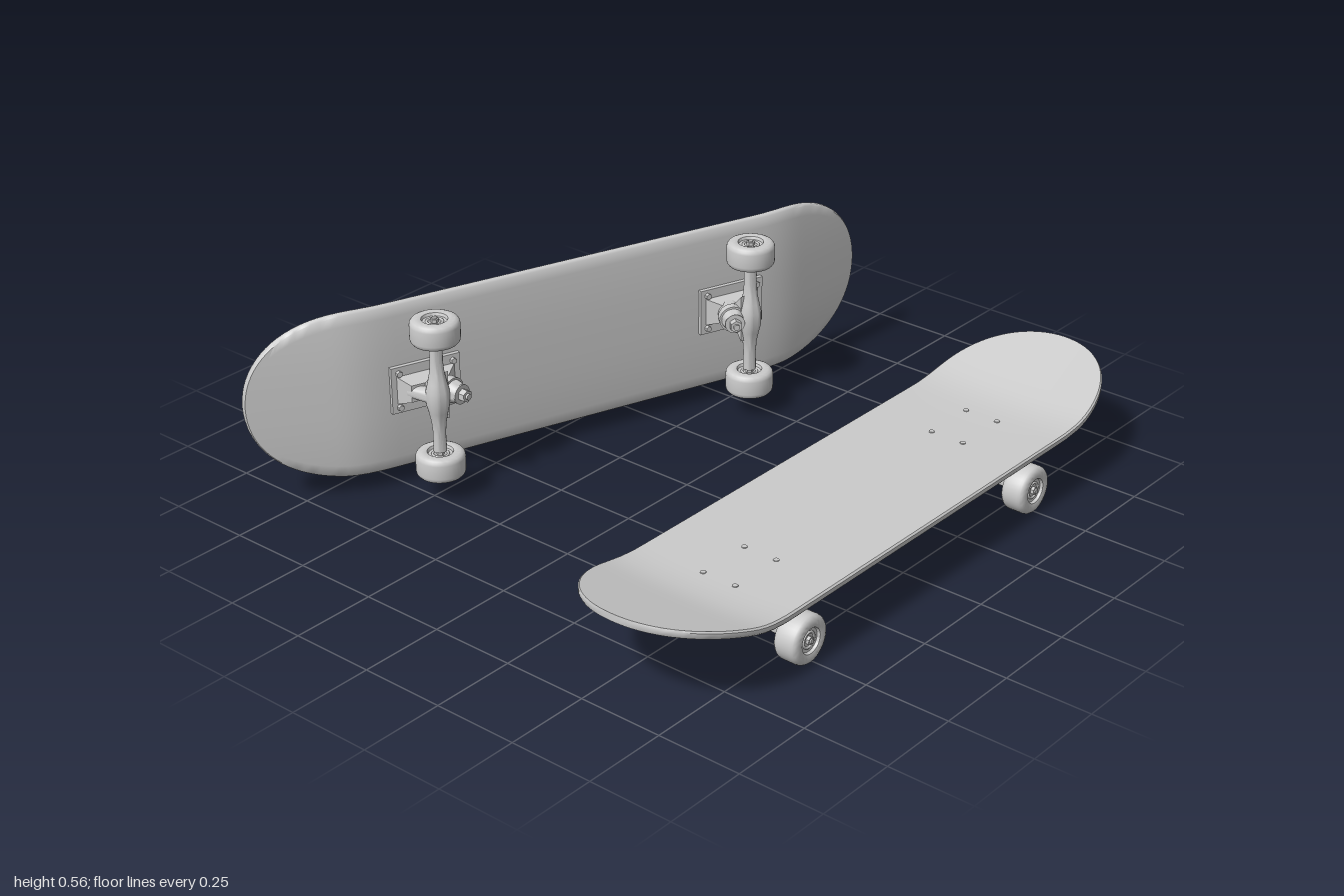
import * as THREE from 'three';
import { toCreasedNormals } from 'three/addons/utils/BufferGeometryUtils.js';

const material = new THREE.MeshStandardMaterial({ color: 0xcccccc });

function part(name, geometry, parent) {
  const mesh = new THREE.Mesh(geometry, material);
  mesh.name = name;
  parent.add(mesh);
  return mesh;
}

// Cylinder or cone from point a to point b
function rod(name, a, b, ra, rb, parent, sides = 24) {
  const from = new THREE.Vector3(...a), dir = new THREE.Vector3(...b).sub(from);
  const geo = new THREE.CylinderGeometry(rb, ra, dir.length(), sides);
  const mesh = part(name, toCreasedNormals(geo, 0.6), parent);
  mesh.position.copy(from).addScaledVector(dir, 0.5);
  mesh.quaternion.setFromUnitVectors(new THREE.Vector3(0, 1, 0), dir.normalize());
  return mesh;
}

// Box whose bottom face is scaled and shifted
function taperedBox(w, h, d, sx, sz, shift = 0) {
  const geo = new THREE.BoxGeometry(w, h, d);
  const p = geo.attributes.position;
  for (let i = 0; i < p.count; i++) {
    if (p.getY(i) < 0) {
      p.setX(i, p.getX(i) * sx + shift);
      p.setZ(i, p.getZ(i) * sz);
    }
  }
  return toCreasedNormals(geo, 0.3);
}

// Height of the deck's top: flat middle, upturned ends, slightly raised edges
function deckTop(x, z) {
  const t = Math.max(0, Math.abs(x) - 0.6);
  const kick = t < 0.15 ? t * t : 0.0225 + 0.3 * (t - 0.15);
  const edge = 0.011 * Math.pow(Math.abs(z) / 0.252, 2.5);
  return 0.193 + kick + edge;
}

// Deck: closed cross-section loops along x
function deckGeometry() {
  const half = 0.252, straight = 0.67, end = 0.319, thick = 0.022, r = 0.005, n = 16;
  const stations = [];
  for (let i = 0; i <= 20; i++) {
    const a = (i / 20) * Math.PI / 2;
    stations.push([straight + end * Math.pow(Math.sin(a), 0.92),
      half * Math.pow(Math.max(0, Math.cos(a)), 0.92)]);
  }
  const all = stations.slice().reverse().map(([x, w]) => [-x, w]);
  for (let i = 1; i < 28; i++) all.push([straight * (i / 14 - 1), half]);
  all.push(...stations);

  const pos = [], index = [];
  const size = 2 * (n + 1) + 4;
  for (const [x, w] of all) {
    const inner = Math.max(0, w - r);
    const add = (z, drop) => pos.push(x, deckTop(x, z) - drop, z);
    for (let j = 0; j <= n; j++) add(inner * (2 * j / n - 1), 0);
    add(w, r);
    add(w, thick - r);
    for (let j = 0; j <= n; j++) add(inner * (1 - 2 * j / n), thick);
    add(-w, thick - r);
    add(-w, r);
  }
  for (let i = 0; i < all.length - 1; i++) {
    for (let j = 0; j < size; j++) {
      const a = i * size + j, b = i * size + (j + 1) % size;
      index.push(a, b, a + size, b, b + size, a + size);
    }
  }
  const geo = new THREE.BufferGeometry();
  geo.setAttribute('position', new THREE.Float32BufferAttribute(pos, 3));
  geo.setIndex(index);
  return toCreasedNormals(geo, 0.75);
}

// Revolved profile turned to lie along z
function latheZ(points, segments) {
  const geo = new THREE.LatheGeometry(points.map(([r, z]) => new THREE.Vector2(r, z)), segments);
  return toCreasedNormals(geo.rotateX(Math.PI / 2), 0.6);
}

function makeWheel() {
  const wheel = new THREE.Group();
  wheel.name = 'wheel';
  const side = [[0.07, 0.02], [0.0685, 0.027], [0.064, 0.033], [0.056, 0.0365],
    [0.046, 0.0375], [0.037, 0.035], [0.034, 0.027], [0, 0.025]];
  const profile = [...side.slice().reverse().map(([r, z]) => [r, -z]), ...side];
  part('tyre', latheZ(profile, 40), wheel);
  for (const s of [-1, 1]) {
    const bearing = part('bearingRing', new THREE.TorusGeometry(0.022, 0.004, 8, 28), wheel);
    bearing.position.z = s * 0.026;
    rod('axleNut', [0, 0, s * 0.024], [0, 0, s * 0.035], 0.012, 0.012, wheel, 6);
  }
  return wheel;
}

// Truck for the +x end; the kingpin leans towards the board's middle
function makeTruck() {
  const truck = new THREE.Group();
  truck.name = 'truck';
  const cx = 0.495;
  part('basePlate', new THREE.BoxGeometry(0.21, 0.014, 0.14), truck).position.set(cx, 0.166, 0);
  part('baseBlock', taperedBox(0.18, 0.042, 0.085, 0.62, 0.6, 0.008), truck).position.set(cx, 0.14, 0);

  // Mounting bolts
  for (const sx of [-1, 1]) for (const sz of [-1, 1]) {
    const x = cx + sx * 0.083, z = sz * 0.052;
    rod('boltHead', [x, 0.185, z], [x, 0.1955, z], 0.009, 0.008, truck, 16);
    rod('boltNut', [x, 0.148, z], [x, 0.162, z], 0.009, 0.009, truck, 6);
  }

  // Kingpin stack
  const along = (t) => [0.476 - 0.046 * t, 0.15 - 0.127 * t, 0];
  rod('kingpin', along(0), along(1), 0.009, 0.009, truck, 16);
  rod('upperBushing', along(0.1), along(0.4), 0.034, 0.036, truck);
  rod('hangerRing', along(0.38), along(0.56), 0.039, 0.039, truck);
  rod('lowerBushing', along(0.56), along(0.76), 0.033, 0.026, truck);
  rod('washer', along(0.76), along(0.8), 0.029, 0.029, truck);
  rod('kingpinNut', along(0.8), along(0.95), 0.018, 0.018, truck, 6);

  // Hanger, flaring towards its middle, with a pivot into the base
  const flare = [[0.019, 0.166], [0.018, 0.11], [0.021, 0.075], [0.027, 0.045], [0.033, 0.02]];
  const profile = [[0, -0.166], ...flare.map(([r, z]) => [r, -z]),
    ...flare.slice().reverse(), [0, 0.166]];
  part('hanger', latheZ(profile, 24), truck).position.set(0.503, 0.07, 0);
  const web = part('hangerWeb', taperedBox(0.05, 0.045, 0.055, 1, 2.6), truck);
  web.position.set(0.496, 0.09, 0);
  rod('pivot', [0.505, 0.075, 0], [0.555, 0.14, 0], 0.026, 0.016, truck);
  rod('axle', [0.503, 0.07, -0.242], [0.503, 0.07, 0.242], 0.007, 0.007, truck, 12);

  for (const s of [-1, 1]) {
    const wheel = makeWheel();
    wheel.position.set(0.503, 0.07, s * 0.203);
    truck.add(wheel);
  }
  return truck;
}

function makeBoard(name) {
  const board = new THREE.Group();
  board.name = name;
  part('deck', deckGeometry(), board);
  for (const turn of [0, Math.PI]) {
    const truck = makeTruck();
    truck.rotation.y = turn;
    board.add(truck);
  }
  return board;
}

export function createModel() {
  const model = new THREE.Group();
  model.name = 'skateboards';

  // Board rolling on its wheels
  const flat = makeBoard('flatBoard');
  flat.position.set(-0.012, 0, 0.6);

  // Board on its side, underside to the front
  const upright = makeBoard('uprightBoard');
  upright.rotation.set(-Math.PI / 2, -0.34, 0, 'YXZ');
  upright.position.set(-0.03, 0.306, -0.255);

  model.add(flat, upright);
  return model;
}
